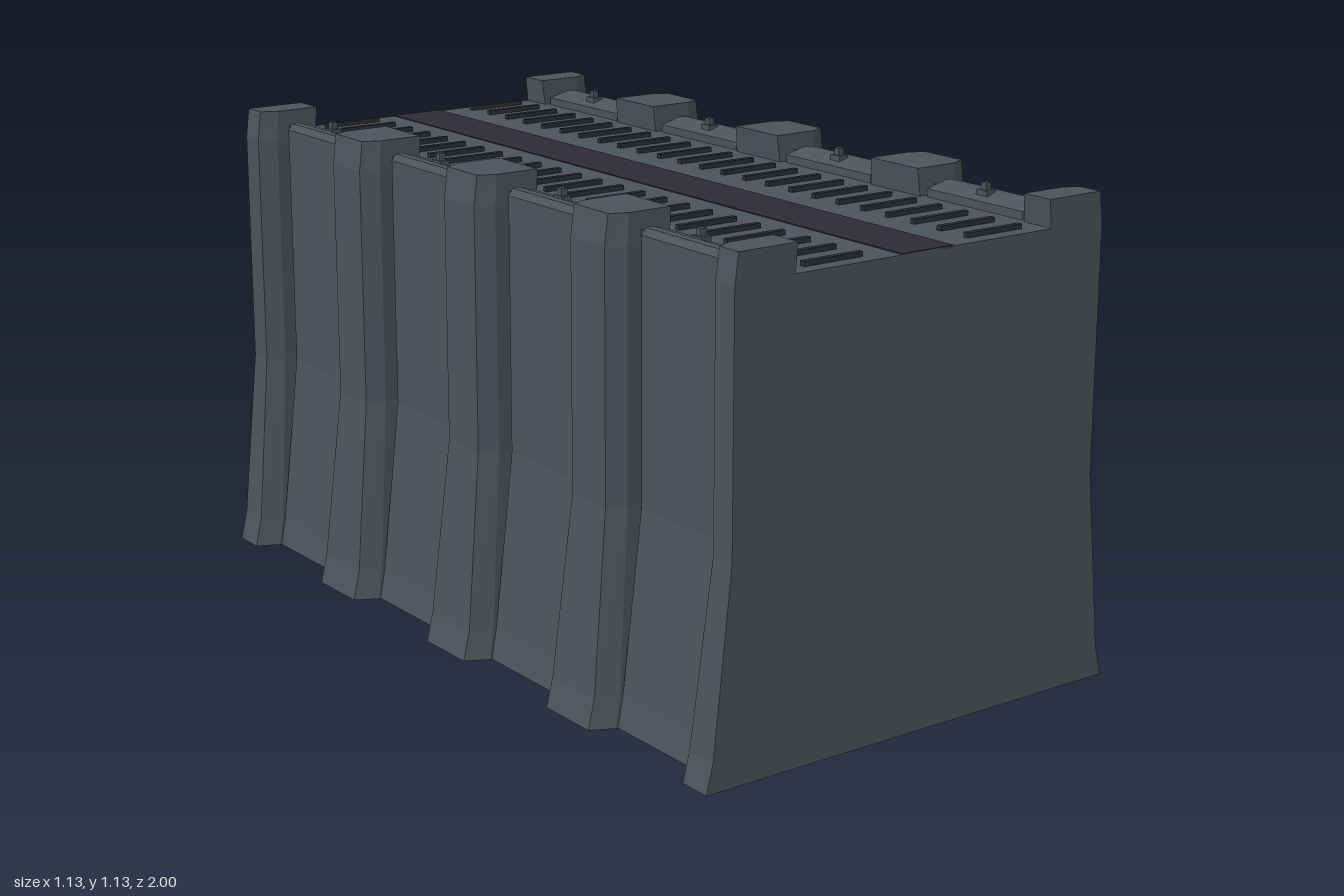
import * as THREE from 'three';

const stone = new THREE.MeshStandardMaterial({ color: 0x4d535a, flatShading: true });
stone.name = 'wallGrey';
const stripeMat = new THREE.MeshStandardMaterial({ color: 0x2d2b35 });
stripeMat.name = 'walkwayStripe';
const barMat = new THREE.MeshStandardMaterial({ color: 0x2b2e34 });
barMat.name = 'grateDark';

// Joins rings of equal point count, bottom to top, into a closed faceted solid
function loft(rings, flip) {
  const pos = [];
  const tri = (a, b, c) => pos.push(...a, ...(flip ? c : b), ...(flip ? b : c));
  const n = rings[0].length;
  for (let k = 0; k < rings.length - 1; k++) {
    const lo = rings[k], hi = rings[k + 1];
    for (let i = 0; i < n; i++) {
      const j = (i + 1) % n;
      tri(lo[i], hi[i], hi[j]);
      tri(lo[i], hi[j], lo[j]);
    }
  }
  const bottom = rings[0], top = rings[rings.length - 1];
  for (let i = 1; i < n - 1; i++) {
    tri(bottom[0], bottom[i], bottom[i + 1]);
    tri(top[0], top[i + 1], top[i]);
  }
  const g = new THREE.BufferGeometry();
  g.setAttribute('position', new THREE.Float32BufferAttribute(pos, 3));
  g.computeVertexNormals();
  return g;
}

// Ring with chamfered outer corners, clamped to the ends of the wall
function ring(side, z, [y, xi, xo, wo, wi, chamfer]) {
  const xm = xo - chamfer;
  return [[xi, -wi], [xm, -wi], [xo, -wo], [xo, wo], [xm, wi], [xi, wi]]
    .map(([x, w]) => [side * x, y, THREE.MathUtils.clamp(z + w, -1, 1)]);
}

// y, inner x, outer x, outer half width, inner half width, chamfer depth
const BUTTRESS = [
  [0, 0.352, 0.565, 0.08, 0.107, 0.055],
  [0.07, 0.352, 0.548, 0.08, 0.105, 0.05],
  [0.49, 0.352, 0.504, 0.062, 0.084, 0.042],
  [1.06, 0.352, 0.504, 0.062, 0.084, 0.042],
  [1.13, 0.345, 0.495, 0.062, 0.08, 0.04],
];
const PANEL = [
  [0, 0.36, 0.505, 0.143, 0.153, 0.015],
  [0.07, 0.36, 0.492, 0.143, 0.153, 0.015],
  [0.49, 0.36, 0.442, 0.143, 0.153, 0.015],
  [1.085, 0.36, 0.442, 0.143, 0.153, 0.015],
  [1.1, 0.41, 0.43, 0.143, 0.148, 0.008],
];

export function createModel() {
  const model = new THREE.Group();
  const add = (name, geo, mat, x = 0, y = 0, z = 0) => {
    const m = new THREE.Mesh(geo, mat);
    m.name = name;
    m.position.set(x, y, z);
    model.add(m);
  };
  const box = (name, w, h, d, mat, x, y, z) =>
    add(name, new THREE.BoxGeometry(w, h, d), mat, x, y, z);

  // Solid core whose top is the walkway
  const core = new THREE.Shape([
    [-0.49, 0], [0.49, 0], [0.478, 0.07], [0.425, 0.49], [0.425, 1.066],
    [-0.425, 1.066], [-0.425, 0.49], [-0.478, 0.07],
  ].map(([x, y]) => new THREE.Vector2(x, y)));
  add('wallCore', new THREE.ExtrudeGeometry(core, { depth: 2, bevelEnabled: false }), stone, 0, 0, -1);

  // Centre stripe
  box('walkwayStripe', 0.14, 0.006, 2, stripeMat, 0, 1.0655, 0);

  for (const side of [-1, 1]) {
    // Buttresses, cut in half at the ends
    for (let i = -2; i <= 2; i++) {
      add('buttress', loft(BUTTRESS.map(r => ring(side, i * 0.5, r)), side < 0), stone);
    }
    // Low parapet kerb
    box('parapet', 0.03, 0.04, 1.9, stone, side * 0.41, 1.07, 0);
    for (const z of [-0.75, -0.25, 0.25, 0.75]) {
      add('wallPanel', loft(PANEL.map(r => ring(side, z, r)), side < 0), stone);
      // Clips on the kerb
      box('clipBase', 0.026, 0.045, 0.034, stone, side * 0.395, 1.082, z);
      box('clipTop', 0.016, 0.018, 0.016, stone, side * 0.395, 1.112, z);
    }
    // Grate bars
    for (let i = 0; i < 24; i++) {
      box('grateBar', 0.155, 0.012, 0.014, barMat, side * 0.222, 1.071, -0.957 + i * 1.914 / 23);
    }
  }
  return model;
}
